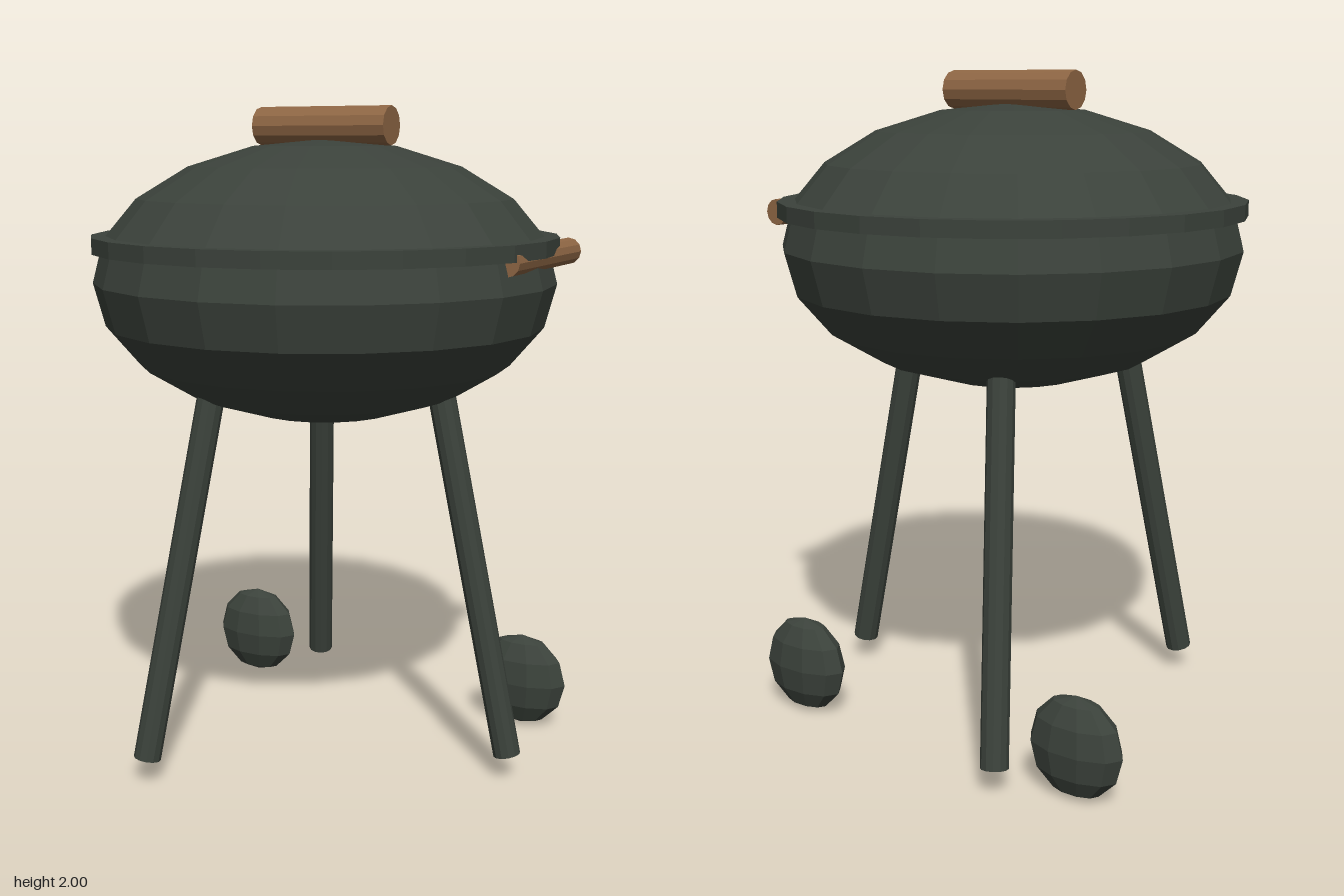
import * as THREE from 'three';

export function createModel() {
  const group = new THREE.Group();
  const enamel = new THREE.MeshStandardMaterial({ name: 'dark enamel', color: 0x3b423b, flatShading: true });
  const wood = new THREE.MeshStandardMaterial({ name: 'wood', color: 0x8e6644, flatShading: true });

  const add = (name, geometry, material, x, y, z) => {
    const mesh = new THREE.Mesh(geometry, material);
    mesh.name = name;
    mesh.position.set(x, y, z);
    group.add(mesh);
    return mesh;
  };

  // Round rod between two points
  const rod = (name, a, b, radius, sides, material) => {
    const dir = b.clone().sub(a);
    const mid = a.clone().add(b).multiplyScalar(0.5);
    const mesh = add(name, new THREE.CylinderGeometry(radius, radius, dir.length(), sides), material, mid.x, mid.y, mid.z);
    mesh.quaternion.setFromUnitVectors(new THREE.Vector3(0, 1, 0), dir.normalize());
    return mesh;
  };

  // Squashed bowl and lid, with the rim where they meet
  const bowl = new THREE.SphereGeometry(1, 20, 10).scale(0.697, 0.42, 0.697);
  add('bowlAndLid', bowl, enamel, 0, 1.485, 0);
  add('rim', new THREE.CylinderGeometry(0.703, 0.703, 0.047, 24), enamel, 0, 1.6, 0);

  // Three splayed legs running up into the bowl
  for (let i = 0; i < 3; i++) {
    const angle = (i * Math.PI * 2) / 3;
    const at = (r, y) => new THREE.Vector3(Math.cos(angle) * r, y, Math.sin(angle) * r);
    rod('leg' + (i + 1), at(0.628, 0.077), at(0.385, 1.2), 0.041, 12, enamel);
  }

  // Two rear wheels
  for (const side of [-1, 1]) {
    const wheel = new THREE.SphereGeometry(1, 10, 6).scale(0.152, 0.152, 0.076);
    add(side > 0 ? 'leftWheel' : 'rightWheel', wheel, enamel, side * 0.51, 0.152, -0.425);
  }

  // Wooden handles on the lid and on the side of the bowl
  rod('lidHandle', new THREE.Vector3(-0.22, 1.943, 0), new THREE.Vector3(0.22, 1.943, 0), 0.057, 12, wood);
  rod('sideHandle', new THREE.Vector3(0.65, 1.574, -0.343), new THREE.Vector3(0.65, 1.574, 0.168), 0.04, 12, wood);

  return group;
}
